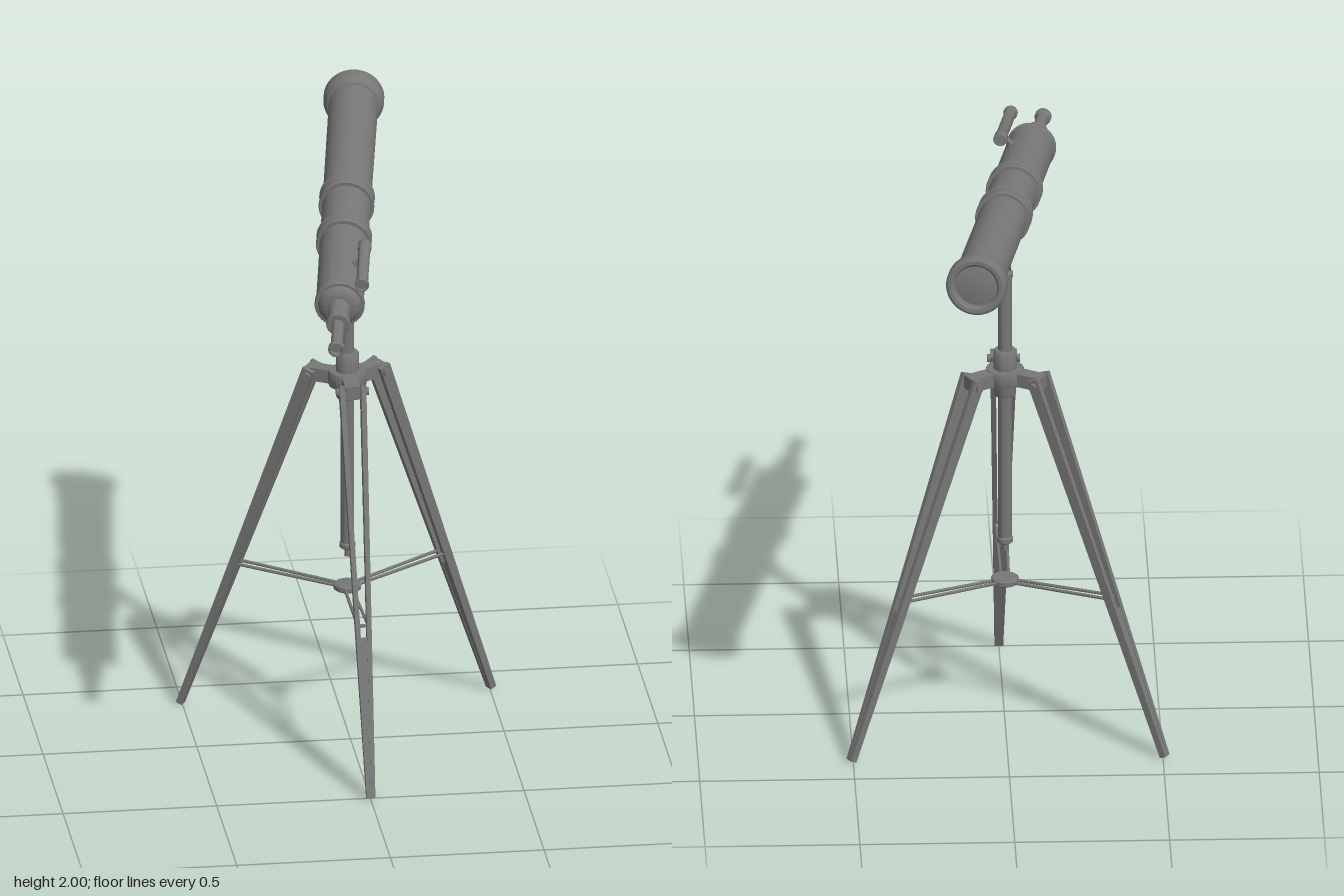
import * as THREE from 'three';
import { toCreasedNormals } from 'three/addons/utils/BufferGeometryUtils.js';

const material = new THREE.MeshStandardMaterial({ color: 0x777777 });
const V = (x, y, z) => new THREE.Vector3(x, y, z);

function add(parent, name, geometry, x = 0, y = 0, z = 0) {
  const mesh = new THREE.Mesh(geometry, material);
  mesh.name = name;
  mesh.position.set(x, y, z);
  parent.add(mesh);
  return mesh;
}

// Turned part from [radius, height] pairs, listed bottom to top on the outside
function turned(points, segments = 40) {
  const profile = points.map(([r, y]) => new THREE.Vector2(r, y));
  return toCreasedNormals(new THREE.LatheGeometry(profile, segments), 0.6);
}

// Tapered bar between two points; sizes are [width along x, depth]
function bar(a, b, sizeA, sizeB) {
  const geometry = new THREE.BoxGeometry(1, 1, 1);
  const p = geometry.attributes.position;
  const axis = b.clone().sub(a).normalize();
  const depth = V(1, 0, 0).cross(axis).normalize();
  const width = axis.clone().cross(depth);
  for (let i = 0; i < p.count; i++) {
    const [end, size] = p.getY(i) < 0 ? [a, sizeA] : [b, sizeB];
    const v = end.clone()
      .addScaledVector(width, p.getX(i) * size[0])
      .addScaledVector(depth, p.getZ(i) * size[1]);
    p.setXYZ(i, v.x, v.y, v.z);
  }
  geometry.computeVertexNormals();
  return geometry;
}

function rod(a, b, radius, segments = 16) {
  const d = b.clone().sub(a);
  const geometry = new THREE.CylinderGeometry(radius, radius, d.length(), segments);
  geometry.applyQuaternion(new THREE.Quaternion().setFromUnitVectors(V(0, 1, 0), d.normalize()));
  const mid = a.clone().add(b).multiplyScalar(0.5);
  return geometry.translate(mid.x, mid.y, mid.z);
}

// One leg pointing to +z, with its hub arm, hinge and spreader
function createLeg() {
  const leg = new THREE.Group();
  leg.name = 'leg';
  for (const s of [-1, 1]) {
    add(leg, 'legBar', bar(V(s * 0.007, 0.004, 0.584), V(s * 0.035, 1.255, 0.121), [0.014, 0.022], [0.017, 0.04]));
    add(leg, 'spreaderRod', rod(V(s * 0.012, 0.505, 0.03), V(s * 0.017, 0.527, 0.39), 0.0055, 8));
    add(leg, 'hingeNut', rod(V(s * 0.043, 1.235, 0.125), V(s * 0.053, 1.235, 0.125), 0.013, 12));
  }
  add(leg, 'hubArm', new THREE.BoxGeometry(0.05, 0.045, 0.11), 0, 1.235, 0.085);
  add(leg, 'hingePin', rod(V(-0.05, 1.235, 0.125), V(0.05, 1.235, 0.125), 0.008, 12));
  add(leg, 'spreaderPin', rod(V(-0.025, 0.527, 0.39), V(0.025, 0.527, 0.39), 0.006, 8));
  // Solid lower part between the two bars
  add(leg, 'lowerLeg', bar(V(0, 0.004, 0.584), V(0, 0.49, 0.404), [0.014, 0.018], [0.036, 0.024]));
  return leg;
}

function createTripod() {
  const tripod = new THREE.Group();
  tripod.name = 'tripod';
  for (let i = 0; i < 3; i++) {
    const leg = createLeg();
    leg.rotation.y = (i * Math.PI * 2) / 3;
    tripod.add(leg);
  }
  add(tripod, 'hub', turned([[0, 1.165], [0.034, 1.165], [0.036, 1.17], [0.036, 1.21], [0.06, 1.21],
    [0.062, 1.215], [0.062, 1.255], [0.06, 1.26], [0.037, 1.26], [0.037, 1.32], [0.034, 1.325], [0, 1.325]]));
  add(tripod, 'centreColumn', turned([[0, 0.61], [0.009, 0.61], [0.009, 0.638], [0.02, 0.638], [0.026, 0.643],
    [0.026, 0.656], [0.022, 0.66], [0.022, 1.58], [0.026, 1.583], [0.026, 1.6], [0.022, 1.605],
    [0.013, 1.607], [0.013, 1.625], [0, 1.625]], 28));
  add(tripod, 'spreaderHub', turned([[0, 0.494], [0.04, 0.494], [0.045, 0.498], [0.045, 0.512], [0.04, 0.516], [0, 0.516]], 24));

  // Tilt joint on top of the column
  add(tripod, 'tiltJoint', rod(V(-0.018, 1.645, 0), V(0.018, 1.645, 0), 0.036, 28));
  add(tripod, 'tiltPin', rod(V(-0.022, 1.645, 0), V(0.022, 1.645, 0), 0.012, 14));
  return tripod;
}

// Local axes: x to the side, y from eyepiece to objective, z up
function createTelescope() {
  const scope = new THREE.Group();
  scope.name = 'telescope';
  add(scope, 'eyepiece', turned([[0, 0.006], [0.015, 0.006], [0.018, -0.007], [0.025, -0.007], [0.027, -0.003],
    [0.027, 0.012], [0.02, 0.02], [0.02, 0.17]], 28));
  add(scope, 'focusTube', turned([[0.02, 0.163], [0.036, 0.163], [0.039, 0.167], [0.039, 0.178], [0.035, 0.182],
    [0.035, 0.275], [0.04, 0.29]], 32));
  add(scope, 'mainTube', turned([[0.03, 0.274], [0.045, 0.275], [0.058, 0.281], [0.068, 0.292], [0.07, 0.297], [0.079, 0.297],
    [0.081, 0.301], [0.081, 0.314], [0.077, 0.318], [0.08, 1.66]], 48));
  add(scope, 'objectiveHood', turned([[0.079, 1.634], [0.086, 1.636], [0.091, 1.642], [0.092, 1.65], [0.096, 1.655],
    [0.098, 1.664], [0.098, 1.698], [0.095, 1.707], [0.088, 1.711], [0.076, 1.71], [0.069, 1.703], [0.069, 1.682],
    [0.04, 1.688], [0, 1.69]], 48));

  // Clamp rings with feet standing on the cradle bar
  for (const [start, end] of [[0.702, 0.759], [0.958, 1.028]]) {
    add(scope, 'clampRing', turned([[0.077, start], [0.088, start], [0.09, start + 0.003], [0.09, start + 0.007],
      [0.087, start + 0.01], [0.087, end - 0.01], [0.09, end - 0.007], [0.09, end - 0.003], [0.088, end], [0.077, end]], 48));
    add(scope, 'clampFoot', new THREE.BoxGeometry(0.036, end - start, 0.022), 0, (start + end) / 2, -0.083);
  }
  add(scope, 'cradleBar', new THREE.BoxGeometry(0.034, 0.326, 0.014), 0, 0.865, -0.09);

  // Curved bracket carrying the cradle bar down to the joint
  const shape = new THREE.Shape();
  shape.moveTo(0.77, -0.092);
  shape.lineTo(0.955, -0.092);
  shape.quadraticCurveTo(0.934, -0.112, 0.934, -0.158);
  shape.lineTo(0.908, -0.158);
  shape.quadraticCurveTo(0.905, -0.122, 0.88, -0.116);
  shape.quadraticCurveTo(0.82, -0.11, 0.77, -0.092);
  const bracket = new THREE.ExtrudeGeometry(shape, { depth: 0.026, bevelEnabled: false, curveSegments: 8 });
  bracket.translate(0, 0, -0.013);
  // Shape (x, y, depth) becomes (along, up, side)
  bracket.applyMatrix4(new THREE.Matrix4().makeBasis(V(0, 1, 0), V(0, 0, 1), V(1, 0, 0)));
  add(scope, 'cradleBracket', bracket);

  // Small sighting scope on a post
  const fx = 0.074, fz = 0.097;
  add(scope, 'finderScope', turned([[0, 0.258], [0.015, 0.258], [0.017, 0.252], [0.022, 0.252], [0.023, 0.256], [0.023, 0.266],
    [0.019, 0.271], [0.019, 0.488], [0.022, 0.494], [0.022, 0.53], [0.02, 0.534], [0.016, 0.534], [0.016, 0.526], [0, 0.526]], 24), fx, 0, fz);
  add(scope, 'finderPost', rod(V(fx * 0.58, 0.46, fz * 0.58), V(fx, 0.46, fz), 0.008, 14));
  add(scope, 'finderFoot', rod(V(fx * 0.6, 0.46, fz * 0.6), V(fx * 0.68, 0.46, fz * 0.68), 0.014, 16));

  // Aim the tube
  const along = V(0.275, 0.178, -1.675).normalize();
  const side = along.clone().cross(V(0, 1, 0)).normalize();
  const up = side.clone().cross(along);
  scope.quaternion.setFromRotationMatrix(new THREE.Matrix4().makeBasis(side, along, up));
  scope.position.set(-0.155, 1.722, 0.845);
  return scope;
}

export function createModel() {
  const model = new THREE.Group();
  model.name = 'telescopeOnTripod';
  const tripod = createTripod();
  tripod.position.z = -0.075;
  model.add(tripod, createTelescope());
  return model;
}
